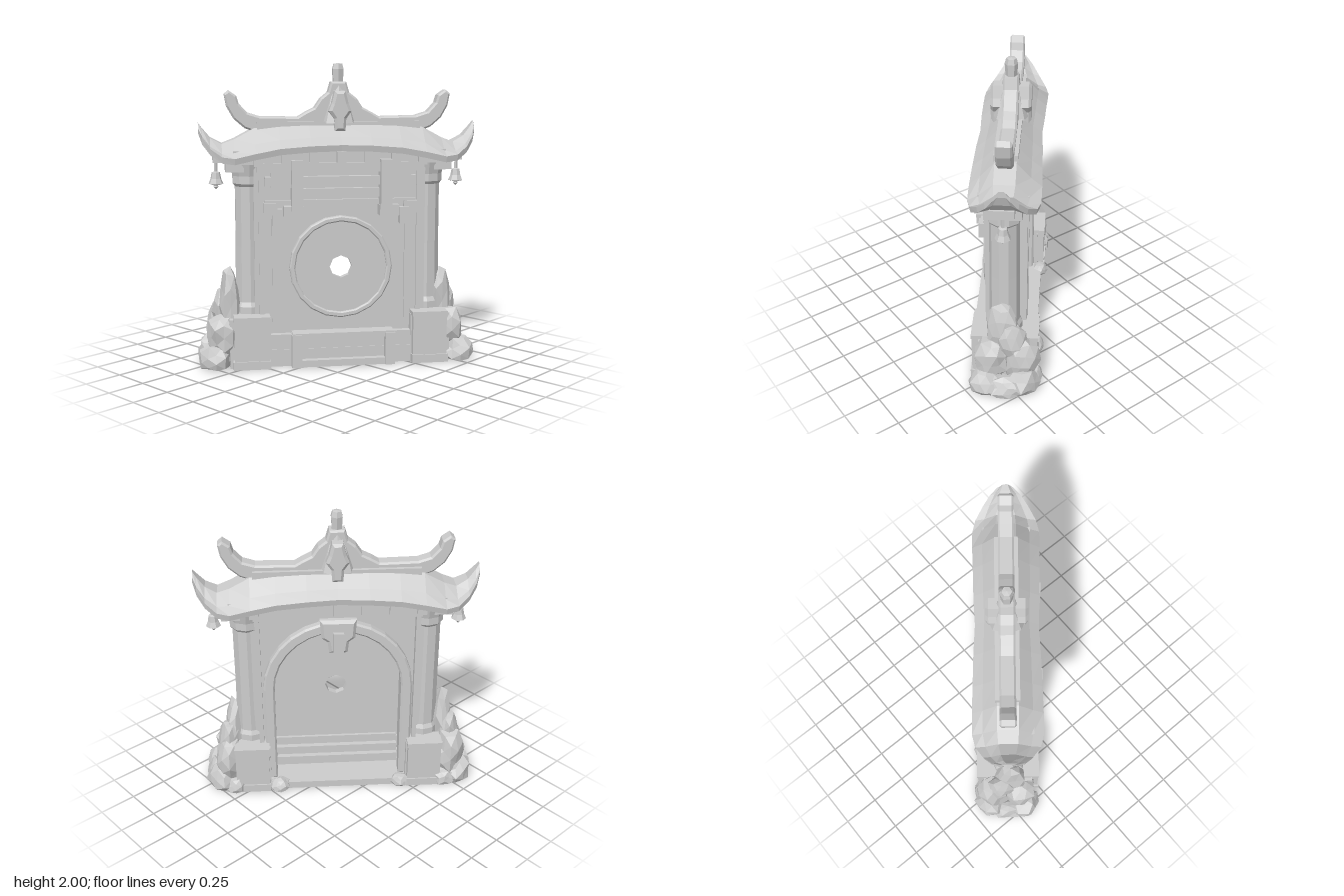
import * as THREE from 'three';

const stone = new THREE.MeshStandardMaterial({ color: 0xcccccc, flatShading: true });
stone.name = 'pale grey stone';

let gate;
function add(name, geo, x = 0, y = 0, z = 0) {
  const m = new THREE.Mesh(geo, stone);
  m.name = name;
  m.position.set(x, y, z);
  gate.add(m);
  return m;
}
// Box given by its limits
function block(name, x0, x1, y0, y1, z0, z1) {
  return add(name, new THREE.BoxGeometry(x1 - x0, y1 - y0, z1 - z0),
    (x0 + x1) / 2, (y0 + y1) / 2, (z0 + z1) / 2);
}
const both = (fn) => { fn(1); fn(-1); };
// Mirrored box: limits are for the +x side
function pair(name, x0, x1, y0, y1, z0, z1) {
  both((s) => block(name, s > 0 ? x0 : -x1, s > 0 ? x1 : -x0, y0, y1, z0, z1));
}
const vecs = (list) => list.map(([x, y]) => new THREE.Vector2(x, y));
function extrude(name, shape, z0, z1, bevel = 0) {
  const geo = new THREE.ExtrudeGeometry(shape, {
    depth: z1 - z0 - 2 * bevel, curveSegments: 12, bevelEnabled: bevel > 0,
    bevelSize: bevel, bevelThickness: bevel, bevelOffset: -bevel, bevelSegments: 1,
  });
  return add(name, geo, 0, 0, z0 + bevel);
}
function mirrored(half) {
  return new THREE.Shape(vecs([...half, ...half.slice().reverse().map(([x, y]) => [-x, y])]));
}
function circlePath(r, n) {
  return new THREE.Path(Array.from({ length: n }, (_, i) => {
    const a = (i / n) * Math.PI * 2;
    return new THREE.Vector2(r * Math.cos(a), 0.665 + r * Math.sin(a));
  }));
}
// Skin over closed cross-sections, with capped ends
function loft(rings) {
  const n = rings[0].length, idx = [];
  for (let i = 0; i < rings.length - 1; i++) {
    for (let j = 0; j < n; j++) {
      const a = i * n + j, b = i * n + (j + 1) % n;
      idx.push(a, a + n, b, b, a + n, b + n);
    }
  }
  const last = (rings.length - 1) * n;
  for (let j = 1; j < n - 1; j++) idx.push(0, j, j + 1, last, last + j + 1, last + j);
  const g = new THREE.BufferGeometry();
  g.setAttribute('position', new THREE.Float32BufferAttribute(rings.flat(2), 3));
  g.setIndex(idx);
  g.computeVertexNormals();
  return g;
}
// Rough boulder, jittered by a repeatable rule and cut flat at the ground
function rock(x, y, z, rx, ry, rz, seed) {
  const g = new THREE.IcosahedronGeometry(1, 1), p = g.attributes.position;
  for (let i = 0; i < p.count; i++) {
    const a = p.getX(i), b = p.getY(i), c = p.getZ(i);
    const h = Math.sin(Math.round(a * 50) * 12.9 + Math.round(b * 50) * 78.2 + Math.round(c * 50) * 37.7 + seed * 9.1) * 437.5;
    const k = 0.8 + 0.32 * (h - Math.floor(h));
    p.setXYZ(i, a * k * rx, Math.max(b * k * ry, 0.005 - y), c * k * rz);
  }
  g.computeVertexNormals();
  add('rock', g, x, y, z);
}

export function createModel() {
  const root = new THREE.Group();
  root.name = 'stoneGate';
  gate = new THREE.Group();
  gate.name = 'gate';
  gate.rotation.y = 0.89;
  gate.position.x = 0.02;
  root.add(gate);

  // Thin front wall, pierced in the middle
  const wall = new THREE.Shape(vecs([[-0.57, 0.05], [0.57, 0.05], [0.57, 1.42], [-0.57, 1.42]]));
  wall.holes.push(circlePath(0.075, 8));
  extrude('wall', wall, 0.1, 0.12);

  // Round disc with a raised rim on the front
  const disc = new THREE.Shape(circlePath(0.32, 20).getPoints());
  disc.holes.push(circlePath(0.075, 8));
  extrude('disc', disc, 0.115, 0.145);
  const rim = new THREE.Shape(circlePath(0.342, 20).getPoints());
  rim.holes.push(circlePath(0.305, 20));
  extrude('discRim', rim, 0.11, 0.165, 0.008);

  // Deep arched recess at the back, with a raised arch round it
  const archLine = (r) => {
    const pts = [[r, 0.05]];
    for (let i = 0; i <= 14; i++) {
      const a = (i / 14) * Math.PI;
      pts.push([r * Math.cos(a), 0.78 + r * Math.sin(a)]);
    }
    return vecs([...pts, [-r, 0.05]]);
  };
  extrude('arch', new THREE.Shape([...archLine(0.5), ...archLine(0.425).reverse()]), -0.14, -0.04, 0.012);
  const outline = vecs([[0.57, 0.05], [0.57, 1.42], [-0.57, 1.42], [-0.57, 0.05]]);
  extrude('backWall', new THREE.Shape([...outline, ...archLine(0.44).reverse()]), -0.085, 0.105);
  extrude('keystone', mirrored([[0.06, 1.07], [0.07, 1.15], [0.11, 1.18], [0.12, 1.31]]), -0.18, -0.08, 0.02);
  block('keystoneBoss', -0.035, 0.035, 1.09, 1.23, -0.205, -0.17);

  // Columns with collars, on square pedestals
  both((s) => {
    const c = [[0, 0.3], [0.115, 0.3], [0.115, 0.4], [0.1, 0.43], [0.096, 0.8], [0.096, 1.2], [0.112, 1.22], [0.112, 1.27], [0.14, 1.38], [0, 1.38]];
    add('column', new THREE.LatheGeometry(vecs(c), 10), s * 0.595, 0, 0.005);
  });
  pair('columnBase', 0.47, 0.74, 0, 0.33, -0.17, 0.17);
  for (const z of [1, -1]) {
    const f = (a, b) => (z > 0 ? [a, b] : [-b, -a]);
    pair('pedestal', 0.48, 0.71, 0.03, 0.34, ...f(0.1, 0.215));
    pair('pedestalCap', 0.475, 0.715, 0.325, 0.355, ...f(0.08, 0.22));
    pair('pedestalFoot', 0.475, 0.72, 0.005, 0.06, ...f(0.1, 0.225));
    pair('wallPilaster', 0.51, 0.54, 0.3, 1.36, ...f(0.07, 0.135));
  }

  // Base steps on both faces
  block('base', -0.5, 0.5, 0.005, 0.12, 0.05, 0.17);
  block('frontStep', -0.5, 0.5, 0.1, 0.22, 0.08, 0.165);
  block('frontRail', -0.33, 0.35, 0.195, 0.235, 0.12, 0.22);
  block('frontFoot', -0.33, 0.35, 0.005, 0.05, 0.1, 0.215);
  block('frontPost', 0.29, 0.355, 0.005, 0.225, 0.12, 0.23);
  block('frontPost', -0.335, -0.27, 0.005, 0.225, 0.12, 0.23);
  block('backThreshold', -0.47, 0.47, 0.005, 0.055, -0.2, 0.06);
  block('backStep', -0.43, 0.43, 0.05, 0.12, 0.01, 0.11);
  block('backStepMiddle', -0.43, 0.43, 0.12, 0.18, 0.045, 0.11);
  block('backStepTop', -0.43, 0.43, 0.18, 0.24, 0.08, 0.11);

  // Beams and hanging brackets above the disc
  block('lintel', -0.5, 0.5, 1.08, 1.115, 0.11, 0.145);
  block('lowerBeam', -0.3, 0.3, 1.13, 1.19, 0.11, 0.155);
  block('middleBeam', -0.5, 0.5, 1.21, 1.27, 0.11, 0.17);
  block('upperBeam', -0.55, 0.55, 1.3, 1.36, -0.13, 0.185);
  block('eaveBeam', -0.7, 0.7, 1.35, 1.44, -0.15, 0.16);
  pair('panelRail', 0.43, 0.455, 0.3, 1.1, 0.11, 0.135);
  pair('bracketPost', 0.255, 0.33, 1.05, 1.38, 0.11, 0.22);
  pair('bracketFoot', 0.25, 0.38, 1.01, 1.08, 0.11, 0.2);
  pair('bracketArm', 0.33, 0.46, 1.2, 1.32, 0.11, 0.18);
  pair('bracketDrop', 0.39, 0.45, 0.95, 1.06, 0.11, 0.18);
  pair('bracketCorner', 0.42, 0.51, 1.02, 1.1, 0.11, 0.165);
  for (let i = 0; i < 7; i++) {
    const x = -0.54 + i * 0.18;
    block('eaveBracket', x - 0.03, x + 0.03, 1.34, 1.43, -0.18, 0.185);
  }
  pair('endBracket', 0.63, 0.75, 1.3, 1.41, -0.11, 0.12);
  pair('endBracketArm', 0.7, 0.83, 1.36, 1.42, -0.07, 0.08);

  // Roof: half-sections as [x, top y, eave y, eave half-width]
  const half = [[0, 1.61, 1.435, 0.2], [0.2, 1.61, 1.43, 0.21], [0.4, 1.6, 1.415, 0.215], [0.56, 1.58, 1.385, 0.22],
    [0.69, 1.51, 1.355, 0.22], [0.77, 1.48, 1.365, 0.2], [0.845, 1.52, 1.415, 0.15], [0.895, 1.58, 1.48, 0.1], [0.92, 1.615, 1.55, 0.05]];
  const stations = [...half.slice(1).reverse().map(([x, ...r]) => [-x, ...r]), ...half];
  add('roof', loft(stations.map(([x, t, e, w]) => {
    const m = e + (t - e) * 0.5, lip = Math.min(0.04, (t - e) * 0.4);
    return [[x, t, w * 0.3], [x, t, -w * 0.3], [x, m, -w * 0.7], [x, e + lip, -w], [x, e, -w * 0.96],
      [x, e + 0.025, -w * 0.5], [x, e + 0.025, w * 0.5], [x, e, w * 0.96], [x, e + lip, w], [x, m, w * 0.7]];
  })));

  // Ridge with upturned horns and a central peak
  extrude('ridge', mirrored([[0.54, 1.55], [0.62, 1.58], [0.69, 1.64], [0.735, 1.72], [0.75, 1.8], [0.72, 1.825], [0.67, 1.79],
    [0.655, 1.74], [0.6, 1.68], [0.52, 1.655], [0.27, 1.65], [0.22, 1.68], [0.16, 1.71], [0.12, 1.77], [0.07, 1.81], [0.05, 1.88]]), -0.05, 0.05, 0.012);
  block('ridgeBand', -0.54, 0.54, 1.57, 1.62, -0.075, 0.075);
  add('peak', new THREE.CylinderGeometry(0.045, 0.125, 0.26, 8), 0, 1.74, 0);
  both((s) => extrude('peakOrnament', mirrored([[0.035, 1.56], [0.04, 1.64], [0.075, 1.69], [0.055, 1.74], [0.035, 1.82]]),
    s > 0 ? 0.03 : -0.13, s > 0 ? 0.13 : -0.03, 0.018));
  add('finial', new THREE.LatheGeometry(vecs([[0, 1.85], [0.035, 1.86], [0.042, 1.96], [0.032, 1.995], [0, 2]]), 6));

  // Bells under the roof corners
  both((s) => {
    const bell = [[0, 1.2], [0.05, 1.215], [0.035, 1.25], [0.028, 1.29], [0, 1.3]];
    add('bell', new THREE.LatheGeometry(vecs(bell), 7), s * 0.81, 0, 0);
    add('bellHanger', new THREE.CylinderGeometry(0.012, 0.012, 0.12, 5), s * 0.81, 1.34, 0);
    add('bellClapper', new THREE.OctahedronGeometry(0.018), s * 0.81, 1.195, 0);
  });

  // Rocks heaped against both ends
  both((s) => {
    const list = [[0.82, 0.05, 0.11, 0.12, 0.12, 0.12], [0.81, 0.06, -0.12, 0.12, 0.13, 0.12], [0.765, 0.21, 0.08, 0.11, 0.17, 0.12],
      [0.765, 0.21, -0.11, 0.11, 0.19, 0.12], [0.715, 0.4, 0.02, 0.08, 0.25, 0.11], [0.76, 0.34, -0.05, 0.075, 0.17, 0.1],
      [0.87, 0.04, 0, 0.07, 0.1, 0.13], [0.42, 0.03, -0.19, 0.07, 0.06, 0.06], [0.73, 0.04, -0.19, 0.08, 0.08, 0.06]];
    list.forEach(([x, y, z, a, b, c], i) => rock(s * x - 0.013, y, z, a, b, c, i + s * 3));
  });
  return root;
}
